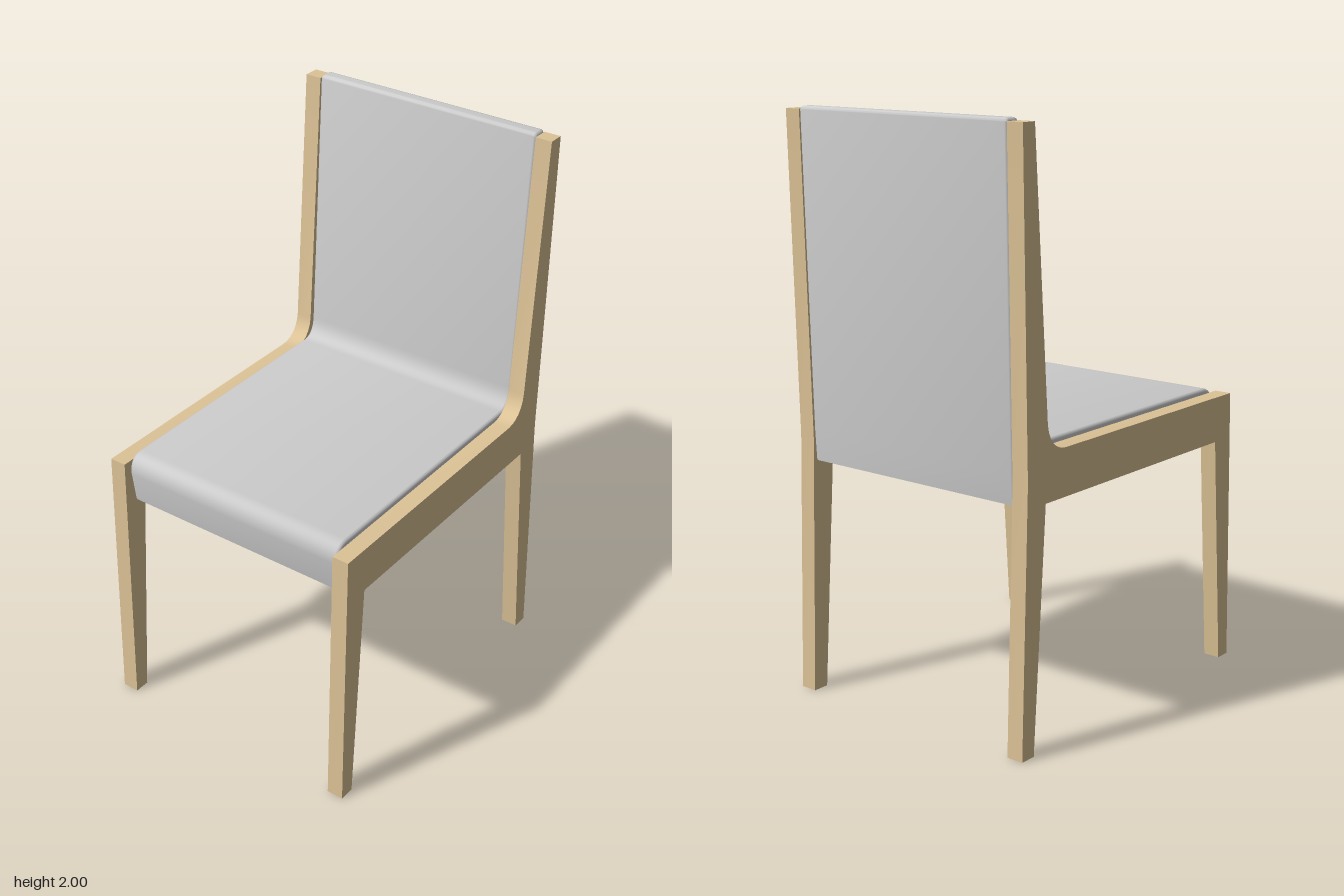
import * as THREE from 'three';
import { toCreasedNormals } from 'three/addons/utils/BufferGeometryUtils.js';

// Extrude a (z, y) side profile across x, centred on x = 0.
function extrudeProfile(shape, width, bevel, curveSegments) {
  const geo = new THREE.ExtrudeGeometry(shape, {
    depth: width - 2 * bevel,
    bevelEnabled: bevel > 0,
    bevelThickness: bevel,
    bevelSize: bevel,
    bevelOffset: -bevel,
    bevelSegments: 2,
    curveSegments,
  });
  geo.translate(0, 0, -(width - 2 * bevel) / 2);
  geo.rotateY(-Math.PI / 2);
  return geo;
}

export function createModel() {
  const chair = new THREE.Group();
  chair.name = 'chair';
  const wood = new THREE.MeshStandardMaterial({ color: 0xdcc296 });
  const fabric = new THREE.MeshStandardMaterial({ color: 0xcccccc });

  // Side frame: tapered front leg, seat rail, back leg and back post in one piece
  const frame = new THREE.Shape();
  frame.moveTo(0.595, 0);
  frame.lineTo(0.57, 0.98);
  frame.lineTo(-0.38, 0.98);
  frame.bezierCurveTo(-0.43, 0.98, -0.465, 1.015, -0.471, 1.07);
  frame.lineTo(-0.537, 1.99);
  frame.lineTo(-0.593, 1.99);
  frame.lineTo(-0.568, 0.9);
  frame.lineTo(-0.595, 0);
  frame.lineTo(-0.537, 0);
  frame.lineTo(-0.48, 0.82);
  frame.lineTo(0.48, 0.82);
  frame.lineTo(0.54, 0);
  frame.closePath();
  const frameGeo = toCreasedNormals(extrudeProfile(frame, 0.06, 0, 6), 0.5);
  for (const [name, side] of [['leftFrame', 1], ['rightFrame', -1]]) {
    const mesh = new THREE.Mesh(frameGeo, wood);
    mesh.name = name;
    mesh.position.x = side * 0.46;
    chair.add(mesh);
  }

  // Upholstered seat and backrest: one padded shell between the frames
  const pad = new THREE.Shape();
  pad.moveTo(0.53, 0.82);
  pad.lineTo(0.545, 0.93);
  pad.bezierCurveTo(0.547, 0.975, 0.53, 1.0, 0.49, 1.0);
  pad.lineTo(-0.425, 1.0);
  pad.quadraticCurveTo(-0.478, 1.0, -0.483, 1.07);
  pad.lineTo(-0.538, 1.985);
  pad.quadraticCurveTo(-0.54, 2.0, -0.553, 2.0);
  pad.lineTo(-0.58, 2.0);
  pad.quadraticCurveTo(-0.593, 2.0, -0.593, 1.985);
  pad.lineTo(-0.566, 0.92);
  pad.lineTo(-0.56, 0.82);
  pad.closePath();
  const upholstery = new THREE.Mesh(toCreasedNormals(extrudeProfile(pad, 0.86, 0.01, 8), 0.9), fabric);
  upholstery.name = 'seatAndBackrest';
  chair.add(upholstery);

  return chair;
}
